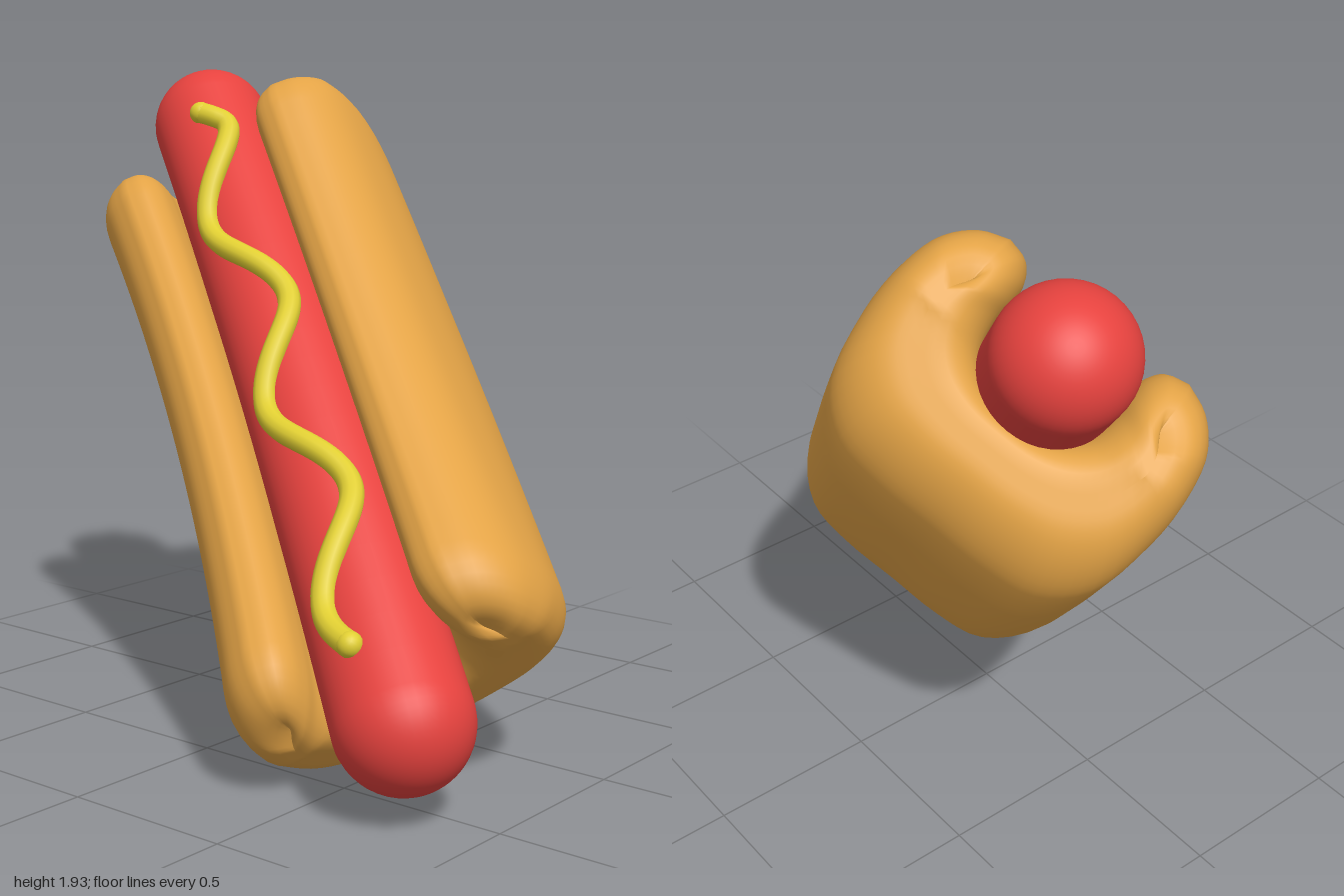
import * as THREE from 'three';

const bunMat = new THREE.MeshStandardMaterial({ color: 0xe3a346 });
bunMat.name = 'toastedBread';
const sausageMat = new THREE.MeshStandardMaterial({ color: 0xe6423e });
sausageMat.name = 'sausageRed';
const mustardMat = new THREE.MeshStandardMaterial({ color: 0xe0ce32 });
mustardMat.name = 'mustardYellow';

// Everything is built along local z, open side up, then tilted as a whole.
const R = 0.188;
const sausageSag = (z) => -0.08 + 0.06 * z * z;
const bunSag = (z) => -0.04 + 0.06 * z * z;

function part(name, geometry, material) {
  const mesh = new THREE.Mesh(geometry, material);
  mesh.name = name;
  return mesh;
}

// Mirrors half a U profile (bottom to tip) into a smooth full curve
function uCurve(half) {
  const pts = half.map(([x, y]) => new THREE.Vector3(x, y, 0));
  const left = pts.slice(1).reverse().map((p) => new THREE.Vector3(-p.x, p.y, 0));
  return new THREE.CatmullRomCurve3([...left, ...pts]);
}

// Bun: U section with rounded lips, swept along z and closed at both ends
function bunGeometry() {
  const outer = uCurve([[0, -0.505], [0.16, -0.505], [0.3, -0.48], [0.4, -0.385],
    [0.44, -0.2], [0.435, -0.04], [0.405, 0.075], [0.345, 0.15], [0.27, 0.185]]);
  const inner = uCurve([[0, -0.18], [0.07, -0.17], [0.13, -0.13], [0.165, -0.08],
    [0.18, 0], [0.175, 0.06], [0.18, 0.12], [0.21, 0.167], [0.27, 0.185]]);
  const M = 64, L = 1.065, r = 0.18;
  const o = [], n = [];
  for (let j = 0; j <= M; j++) {
    o.push(outer.getPoint(j / M));
    n.push(inner.getPoint(j / M));
  }
  // Each ring is [z, thickness]
  const end = [[L, 0], [L, 0.12]];
  for (let i = 8; i >= 0; i--) {
    const t = (i / 8) * Math.PI / 2;
    end.push([L - r + r * Math.sin(t), 1 - 0.75 * (1 - Math.cos(t))]);
  }
  const rings = end.map(([z, k]) => [-z, k]);
  for (let i = 1; i < 24; i++) rings.push([(L - r) * (i / 12 - 1), 1]);
  rings.push(...end.slice().reverse());

  const pos = [], index = [];
  const N = 2 * M;
  for (const [z, k] of rings) {
    const zz = z * z;
    for (let j = 0; j < N; j++) {
      const id = j <= M ? j : N - j;
      const p = j <= M ? o[id] : n[id];
      const mx = (o[id].x + n[id].x) / 2, my = (o[id].y + n[id].y) / 2;
      let x = (mx + (p.x - mx) * k) * (1 + 0.07 * zz);
      let y = my + (p.y - my) * k;
      // lips drop and draw back at the ends
      const pull = 1 + 0.15 * Math.min(0, y + 0.1) - 0.2 * Math.max(0, y - 0.05);
      y -= (1 - k) * 0.18 * Math.max(0, (y + 0.15) / 0.32);
      // belly swells in the middle and tapers toward the ends
      const s = Math.min(1, Math.max(0, -y / 0.5));
      x = x * (1 + 0.06 * s * (1 - 1.6 * zz)) - 0.03 * s * (1 - zz);
      y += bunSag(z) + s * (-0.075 + 0.11 * zz);
      pos.push(x, y, z * pull);
    }
  }
  for (let i = 0; i < rings.length - 1; i++) {
    for (let j = 0; j < N; j++) {
      const a = i * N + j, b = i * N + (j + 1) % N;
      index.push(a, b, b + N, a, b + N, a + N);
    }
  }
  const g = new THREE.BufferGeometry();
  g.setAttribute('position', new THREE.Float32BufferAttribute(pos, 3));
  g.setIndex(index);
  g.computeVertexNormals();
  return g;
}

// Sausage: capsule bent gently along its length
function sausageGeometry() {
  const half = 1.16;
  const g = new THREE.CapsuleGeometry(R, 2 * half, 14, 40, 20);
  g.rotateX(Math.PI / 2);
  const p = g.attributes.position;
  for (let i = 0; i < p.count; i++) {
    const z = THREE.MathUtils.clamp(p.getZ(i), -half, half);
    p.setY(i, p.getY(i) + sausageSag(z));
  }
  return g;
}

// Mustard: wave lying on top of the sausage, hooked at the upper end
function mustardPath() {
  const pts = [];
  for (let i = 0; i <= 60; i++) {
    const z = -1.046 + (i / 60) * 2.035;
    let x = -0.082 * Math.cos((Math.PI * 2 * (z - 0.12)) / 0.74);
    x -= 0.8 * Math.max(0, -0.97 - z);
    pts.push(new THREE.Vector3(x, sausageSag(z) + Math.sqrt(R * R - x * x) + 0.004, z));
  }
  return new THREE.CatmullRomCurve3(pts);
}

export function createModel() {
  const model = new THREE.Group();
  model.name = 'hotDog';
  const body = new THREE.Group();
  body.name = 'tiltedHotDog';

  // The bun is rolled a little around the sausage
  const bun = part('bun', bunGeometry(), bunMat);
  bun.rotation.z = THREE.MathUtils.degToRad(9);
  body.add(bun);
  body.add(part('sausage', sausageGeometry(), sausageMat));

  const path = mustardPath();
  const mustard = new THREE.Group();
  mustard.name = 'mustard';
  mustard.add(part('mustardLine', new THREE.TubeGeometry(path, 140, 0.035, 12), mustardMat));
  for (const t of [0, 1]) {
    const tip = part('mustardTip', new THREE.SphereGeometry(0.036, 16, 12), mustardMat);
    tip.position.copy(path.getPoint(t));
    mustard.add(tip);
  }
  body.add(mustard);

  // Tilt: z runs down the sausage, y points out of the opening
  const along = new THREE.Vector3(0.6526, -0.6396, 0.4062).normalize();
  const side = new THREE.Vector3(0.155, 0.638, 0.755).cross(along).normalize();
  const up = along.clone().cross(side);
  body.quaternion.setFromRotationMatrix(new THREE.Matrix4().makeBasis(side, up, along));
  body.position.set(-0.001, 1.025, 0.11);
  model.add(body);
  return model;
}
